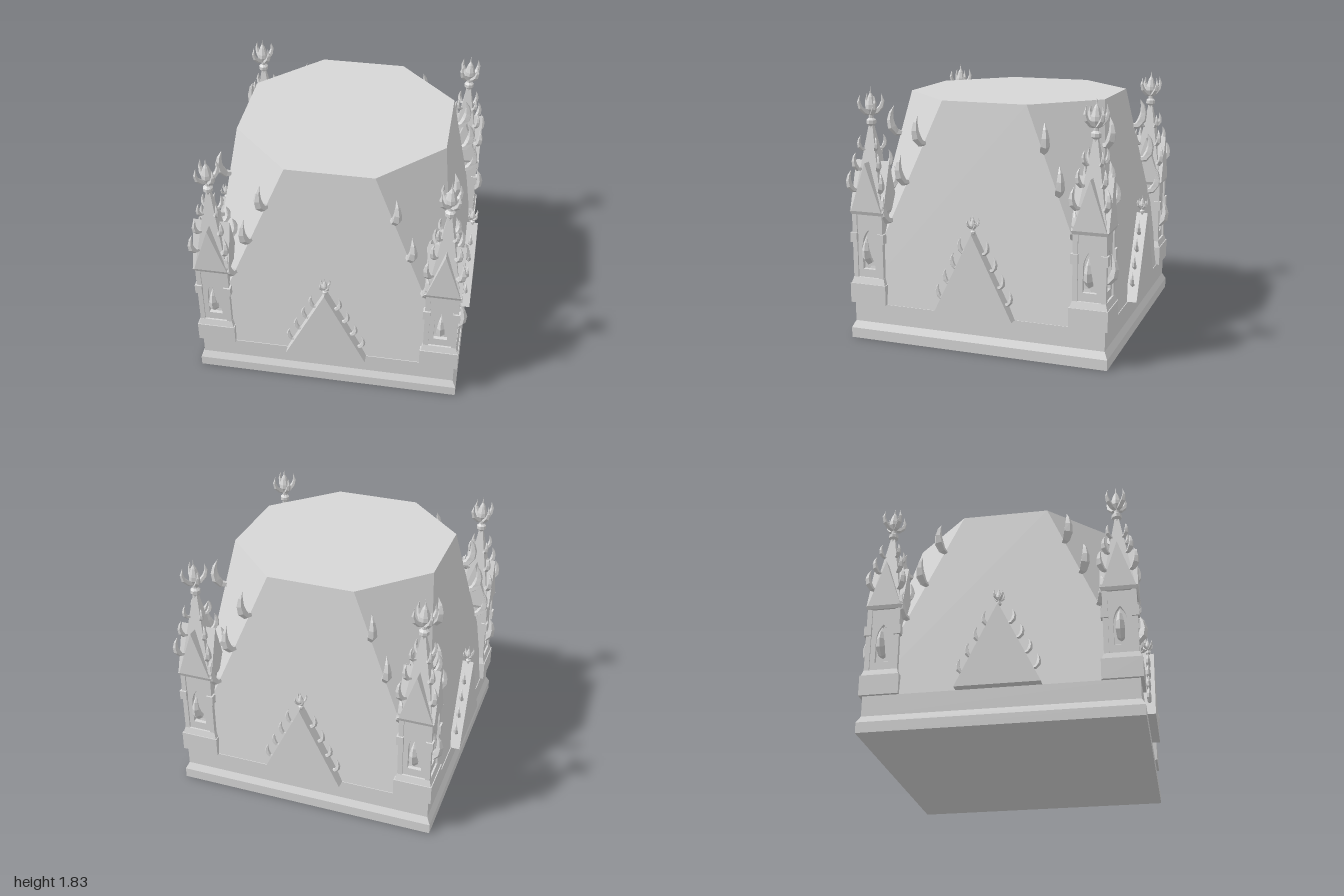
import * as THREE from 'three';
import { ConvexGeometry } from 'three/addons/geometries/ConvexGeometry.js';

const stone = new THREE.MeshStandardMaterial({ color: 0xd6d6d6 });
stone.name = 'pale stone';

// Faceted mesh
function part(name, geo, parent, x = 0, y = 0, z = 0, ry = 0) {
  const g = geo.index ? geo.toNonIndexed() : geo;
  g.computeVertexNormals();
  const m = new THREE.Mesh(g, stone);
  m.name = name;
  m.position.set(x, y, z);
  m.rotation.y = ry;
  parent.add(m);
  return m;
}

function group(name, parent, x = 0, y = 0, z = 0, ry = 0) {
  const g = new THREE.Group();
  g.name = name;
  g.position.set(x, y, z);
  g.rotation.y = ry;
  parent.add(g);
  return g;
}

// Square block between y0 and y1 with half widths h0 (bottom) and h1 (top)
function block(name, parent, h0, h1, y0, y1) {
  const g = new THREE.CylinderGeometry(h1 * Math.SQRT2, h0 * Math.SQRT2, y1 - y0, 4);
  g.rotateY(Math.PI / 4);
  return part(name, g, parent, 0, (y0 + y1) / 2, 0);
}

// Curled horn along a path of [out, up, radius], growing outward to +z
function horn(path, s) {
  const n = 5, pos = [], idx = [];
  path.forEach(([z, y, r], i) => {
    const a = path[Math.max(i - 1, 0)], b = path[Math.min(i + 1, path.length - 1)];
    const tz = b[0] - a[0], ty = b[1] - a[1], l = Math.hypot(tz, ty);
    for (let j = 0; j < n; j++) {
      const t = (j / n) * Math.PI * 2 + Math.PI / 2;
      const c = r * Math.cos(t), d = r * Math.sin(t);
      pos.push(c * s, (y - d * tz / l) * s, (z + d * ty / l) * s);
    }
  });
  for (let i = 0; i < path.length - 1; i++) for (let j = 0; j < n; j++) {
    const a = i * n + j, b = i * n + (j + 1) % n;
    idx.push(a, a + n, b, b, a + n, b + n);
  }
  const g = new THREE.BufferGeometry();
  g.setAttribute('position', new THREE.Float32BufferAttribute(pos, 3));
  g.setIndex(idx);
  return g;
}

const CROCKET = [[-0.12, 0.02, 0.08], [0.12, 0.06, 0.13], [0.28, 0.26, 0.16], [0.33, 0.5, 0.13], [0.3, 0.75, 0.08], [0.2, 1, 0]];
const PETAL = [[0.0, 0.11, 0.012], [0.04, 0.125, 0.018], [0.075, 0.16, 0.018], [0.088, 0.2, 0.013], [0.078, 0.255, 0]];

function triangle(half, h) {
  return new THREE.Shape([new THREE.Vector2(-half, 0), new THREE.Vector2(half, 0), new THREE.Vector2(0, h)]);
}

// Prism centred on z
function prism(shape, depth) {
  const g = new THREE.ExtrudeGeometry(shape, { depth, bevelEnabled: false });
  return g.translate(0, 0, -depth / 2);
}

// Ringed neck, bud and four curled petals
function finial(parent, x, y, z, s) {
  const f = group('finial', parent, x, y, z);
  const profile = [[0.018, 0], [0.02, 0.03], [0.036, 0.045], [0.036, 0.07], [0.018, 0.085], [0.018, 0.11],
    [0.04, 0.15], [0.038, 0.18], [0.02, 0.235], [0.006, 0.26], [0, 0.31]];
  const pts = profile.map(([r, h]) => new THREE.Vector2(r * s, h * s));
  part('finialBud', new THREE.LatheGeometry(pts, 8), f);
  for (let i = 0; i < 4; i++) part('finialPetal', horn(PETAL, s), f, 0, 0, 0, Math.PI / 4 + i * Math.PI / 2);
}

// Panel pierced by a pointed arch
function nichePanel() {
  const s = new THREE.Shape([[-0.085, 0.45], [0.085, 0.45], [0.085, 0.94], [-0.085, 0.94]].map(p => new THREE.Vector2(...p)));
  const h = new THREE.Path();
  h.moveTo(-0.048, 0.52);
  h.lineTo(-0.048, 0.69);
  h.quadraticCurveTo(-0.046, 0.76, 0, 0.81);
  h.quadraticCurveTo(0.046, 0.76, 0.048, 0.69);
  h.lineTo(0.048, 0.52);
  h.closePath();
  s.holes.push(h);
  return new THREE.ExtrudeGeometry(s, { depth: 0.03, bevelEnabled: false, curveSegments: 4 });
}

function pinnacle(parent) {
  const p = group('pinnacle', parent, 0.82, 0, 0.82);
  block('pinnaclePlinth', p, 0.138, 0.138, 0.27, 0.415);
  block('pinnaclePlinthSlope', p, 0.132, 0.118, 0.415, 0.46);
  block('pinnacleCore', p, 0.075, 0.075, 0.41, 0.95);
  block('pinnacleCornice', p, 0.12, 0.13, 0.925, 0.95);
  // Crossed gable roofs
  part('pinnacleGable', prism(triangle(0.118, 0.35), 0.26), p, 0, 0.95, 0);
  part('pinnacleGable', prism(triangle(0.118, 0.35), 0.26), p, 0, 0.95, 0, Math.PI / 2);
  block('pinnacleSpire', p, 0.115, 0.014, 0.95, 1.56);
  for (let i = 0; i < 4; i++) {
    const side = group('pinnacleSide', p, 0, 0, 0, i * Math.PI / 2);
    part('nichePanel', nichePanel(), side, 0, 0, 0.075);
    part('nicheLeaf', horn(CROCKET, 0.21), side, 0, 0.57, 0.078);
    // Corner shaft with its ring
    part('cornerShaft', new THREE.BoxGeometry(0.035, 0.5, 0.035), side, 0.1, 0.69, 0.1);
    part('shaftRing', new THREE.BoxGeometry(0.05, 0.07, 0.05), side, 0.105, 0.755, 0.105);
    // Crockets up each spire edge
    [1.09, 1.24, 1.38].forEach((y, k) => {
      const r = 0.115 - 0.101 * (y - 0.95) / 0.61;
      part('spireCrocket', horn(CROCKET, 0.155 - k * 0.025), side, r, y, r, Math.PI / 4);
    });
  }
  finial(p, 0, 1.52, 0, 1);
}

function wallGable(parent) {
  const g = group('wallGable', parent, 0, 0, 0.958);
  part('gablePlate', prism(triangle(0.292, 0.6), 0.082), g, 0, 0.27, 0);
  for (const sx of [-1, 1]) for (const y of [0.38, 0.495, 0.61, 0.725]) {
    const x = 0.292 * (1 - (y - 0.27) / 0.6);
    part('gableCrocket', horn(CROCKET, 0.11), g, sx * x, y, 0, sx * Math.PI / 2);
  }
  finial(g, 0, 0.85, 0, 0.5);
}

export function createModel() {
  const model = new THREE.Group();
  model.name = 'towerRoof';

  // Stepped square base
  block('baseFoot', model, 0.96, 0.96, 0, 0.075);
  block('baseSlope', model, 0.96, 0.935, 0.075, 0.125);
  block('baseWall', model, 0.935, 0.935, 0.125, 0.27);

  // Roof passing from a square to an octagon
  const pts = [];
  for (const sx of [-1, 1]) for (const sz of [-1, 1]) {
    pts.push(new THREE.Vector3(sx * 0.93, 0.27, sz * 0.93));
    pts.push(new THREE.Vector3(sx * 0.31, 1.74, sz * 0.74), new THREE.Vector3(sx * 0.74, 1.74, sz * 0.31));
  }
  part('roof', new ConvexGeometry(pts), model);

  for (let i = 0; i < 4; i++) {
    const q = group('quarter', model, 0, 0, 0, i * Math.PI / 2);
    pinnacle(q);
    wallGable(q);
    // Crockets on the two roof edges of this face
    for (const sx of [-1, 1]) for (const y of [1.43, 1.15, 0.87]) {
      const t = (1.74 - y) / 1.47;
      part('roofCrocket', horn(CROCKET, 0.215), q, sx * (0.31 + 0.62 * t), y, 0.74 + 0.19 * t, sx * Math.PI / 6);
    }
  }
  return model;
}
